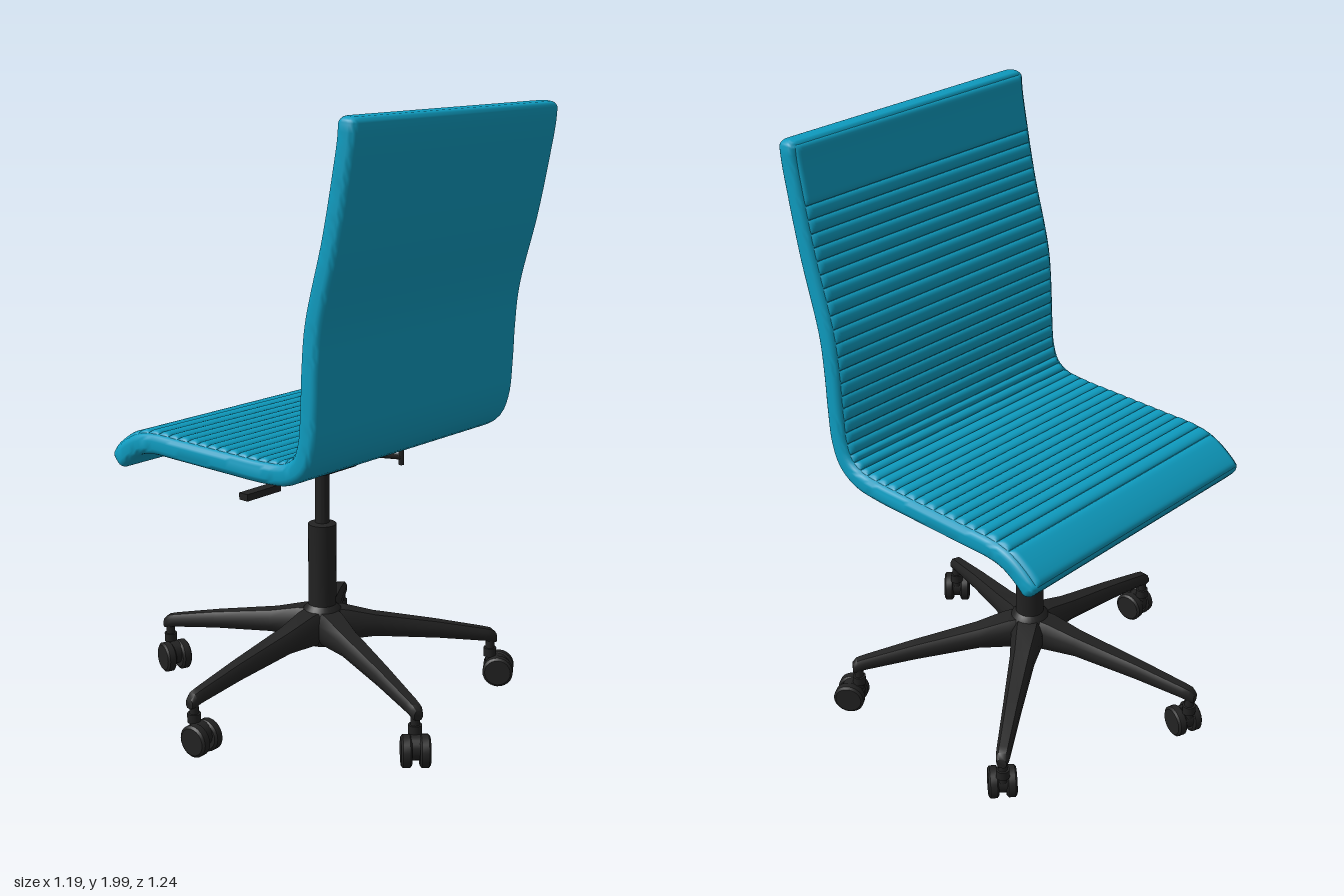
import * as THREE from 'three';
import { toCreasedNormals } from 'three/addons/utils/BufferGeometryUtils.js';

const teal = new THREE.MeshStandardMaterial({ color: 0x0e9cc0 });
teal.name = 'teal upholstery';
const black = new THREE.MeshStandardMaterial({ color: 0x222222 });
black.name = 'black frame';

// Skin a list of equal-length rings; closed rings get end caps
function loft(rings, closed = true) {
  const n = rings[0].length, pos = rings.flat(2), index = [];
  const span = closed ? n : n - 1;
  for (let i = 0; i < rings.length - 1; i++) {
    for (let j = 0; j < span; j++) {
      const a = i * n + j, b = i * n + (j + 1) % n;
      index.push(a, b, a + n, b, b + n, a + n);
    }
  }
  if (closed) {
    const last = (rings.length - 1) * n;
    for (let j = 1; j < n - 1; j++) {
      index.push(0, j + 1, j);
      index.push(last, last + j, last + j + 1);
    }
  }
  const g = new THREE.BufferGeometry();
  g.setAttribute('position', new THREE.Float32BufferAttribute(pos, 3));
  g.setIndex(index);
  g.computeVertexNormals();
  return g;
}

function add(parent, name, geometry, material, x = 0, y = 0, z = 0) {
  const m = new THREE.Mesh(geometry, material);
  m.name = name;
  m.position.set(x, y, z);
  parent.add(m);
  return m;
}

function rod(parent, name, points, radius) {
  const path = new THREE.CurvePath();
  const v = points.map(p => new THREE.Vector3(...p));
  for (let i = 0; i < v.length - 1; i++) path.add(new THREE.LineCurve3(v[i], v[i + 1]));
  return add(parent, name, new THREE.TubeGeometry(path, 24, radius, 8), black);
}

// Centre line of the one-piece seat and back, from front lip to top, as [z, y]
const spine = new THREE.CatmullRomCurve3([
  [-0.485, 0.845], [-0.44, 0.885], [-0.38, 0.92], [-0.32, 0.932], [-0.2, 0.932], [0, 0.93],
  [0.18, 0.93], [0.26, 0.94], [0.315, 0.975], [0.342, 1.04], [0.352, 1.15], [0.357, 1.27],
  [0.37, 1.4], [0.435, 1.65], [0.476, 1.85], [0.49, 1.93], [0.495, 1.995],
].map(([z, y]) => new THREE.Vector3(0, y, z)));
spine.arcLengthDivisions = 800;
const LENGTH = spine.getLength();
const HALF = 0.497, THICK = 0.034;

// Point at distance s along the spine, x across, h above it on the sitting side
function onSpine(s, x, h) {
  const u = THREE.MathUtils.clamp(s / LENGTH, 0, 1);
  const p = spine.getPointAt(u), t = spine.getTangentAt(u);
  return [x, p.y + t.z * h, p.z - t.y * h];
}

const roundOff = (d, r) => Math.sqrt(Math.max(0, 1 - (1 - Math.min(1, d / r)) ** 2));

function shellGeometry() {
  const r = 0.022, stops = [0, 0.06, 0.2, 0.45, 0.75, 1].map(k => k * r);
  const s = [...stops];
  for (let i = 1; i < 90; i++) s.push(r + (LENGTH - 2 * r) * i / 90);
  s.push(...stops.map(d => LENGTH - d).reverse());
  return loft(s.map(d => {
    const inset = r * (1 - roundOff(Math.min(d, LENGTH - d), r));
    const w = HALF - inset, t = THICK - inset * 0.8, c = Math.min(r, t * 0.9);
    const ring = [];
    for (const [sx, sh, a0] of [[1, -1, -90], [1, 1, 0], [-1, 1, 90], [-1, -1, 180]]) {
      for (let k = 0; k <= 4; k++) {
        const a = THREE.MathUtils.degToRad(a0 + k * 22.5);
        ring.push(onSpine(d, sx * (w - c) + c * Math.cos(a), sh * (t - c) + c * Math.sin(a)));
      }
    }
    return ring;
  }));
}

// One padded strip across the sitting side, between distances s0 and s1
function padGeometry(s0, s1, steps) {
  const rings = [], r = 0.02, w = HALF - 0.016, across = [0, 0.003, 0.008, 0.014, 0.02];
  for (let i = 0; i <= steps; i++) {
    const u = (1 - Math.cos(Math.PI * i / steps)) / 2, s = s0 + (s1 - s0) * u;
    const e = roundOff(Math.min(s - s0, s1 - s), r);
    const half = across.map(d => [w - d, THICK - 0.003 + 0.013 * e * roundOff(d, r)]);
    const row = [...half, ...half.map(([x, h]) => [-x, h]).reverse()];
    rings.push(row.map(([x, h]) => onSpine(s, x, h)));
  }
  return loft(rings, false);
}

// Twin-wheel caster; origin on the stem axis at floor level
function caster() {
  const g = new THREE.Group();
  g.name = 'caster';
  add(g, 'casterStem', new THREE.CylinderGeometry(0.015, 0.015, 0.1, 14), black, 0, 0.13, 0);
  add(g, 'casterCollar', new THREE.CylinderGeometry(0.022, 0.022, 0.03, 14), black, 0, 0.115, 0);
  add(g, 'casterBody', new THREE.CylinderGeometry(0.04, 0.04, 0.03, 20).rotateZ(Math.PI / 2),
    black, 0, 0.065, 0.025);
  const profile = [[0, -0.017], [0.044, -0.017], [0.052, -0.011], [0.052, 0.011], [0.044, 0.017], [0, 0.017]];
  const wheel = toCreasedNormals(
    new THREE.LatheGeometry(profile.map(p => new THREE.Vector2(...p)), 24).rotateZ(Math.PI / 2), 0.6);
  for (const side of [-1, 1]) add(g, 'casterWheel', wheel, black, side * 0.029, 0.055, 0.03);
  return g;
}

// Tapered base arm running along +x: [distance, bottom, top, half width]
function armGeometry() {
  const sections = [[0.0, 0.205, 0.325, 0.055], [0.08, 0.21, 0.315, 0.053], [0.18, 0.212, 0.287, 0.041],
    [0.4, 0.186, 0.243, 0.03], [0.57, 0.16, 0.204, 0.023], [0.595, 0.152, 0.197, 0.021], [0.61, 0.15, 0.182, 0.015]];
  return toCreasedNormals(loft(sections.map(([x, b, t, w]) => {
    const k = (t - b) * 0.3;
    return [[-w * 0.6, b], [w * 0.6, b], [w, b + k], [w, t - k], [w * 0.6, t], [-w * 0.6, t], [-w, t - k], [-w, b + k]]
      .map(([z, y]) => [x, y, -z]).reverse().map(([px, py, pz]) => [px, py, -pz]);
  })), 0.9);
}

export function createModel() {
  const model = new THREE.Group();
  model.name = 'officeChair';

  // Seat and back
  const seat = new THREE.Group();
  seat.name = 'seatAndBack';
  seat.position.x = 0.038;
  seat.rotation.y = 0.025;
  model.add(seat);
  add(seat, 'shell', toCreasedNormals(shellGeometry(), 0.8), teal);
  const first = 0.135, last = LENGTH - 0.2, ribs = 36, pitch = (last - first) / ribs;
  add(seat, 'frontPad', padGeometry(0.012, first, 20), teal);
  for (let i = 0; i < ribs; i++) {
    add(seat, 'rib', padGeometry(first + i * pitch, first + (i + 1) * pitch, 10), teal);
  }
  add(seat, 'topPad', padGeometry(last, LENGTH - 0.012, 20), teal);

  // Five-arm base, column and hub
  const base = new THREE.Group();
  base.name = 'base';
  base.position.set(0.038, 0, -0.025);
  model.add(base);
  const column = [[0, 0.2], [0.06, 0.2], [0.075, 0.23], [0.075, 0.285], [0.062, 0.32], [0.047, 0.335],
    [0.047, 0.615], [0.024, 0.62], [0.024, 0.83]];
  add(base, 'column', toCreasedNormals(
    new THREE.LatheGeometry(column.map(p => new THREE.Vector2(...p)), 28), 0.6), black);
  const arm = armGeometry(), turns = [0.6, -0.7, -0.3, 0.08, -0.8];
  for (let i = 0; i < 5; i++) {
    const a = THREE.MathUtils.degToRad(-36 + 72 * i);
    add(base, 'arm', arm, black).rotation.y = a;
    const c = caster();
    c.position.set(0.59 * Math.cos(a), 0, -0.59 * Math.sin(a));
    c.rotation.y = turns[i];
    base.add(c);
  }

  // Tilt mechanism under the seat
  const tilt = new THREE.Group();
  tilt.name = 'tiltMechanism';
  tilt.position.set(0.038, 0, -0.025);
  tilt.rotation.y = 0.025;
  model.add(tilt);
  add(tilt, 'housing', new THREE.BoxGeometry(0.16, 0.07, 0.16), black, 0, 0.845, 0);
  add(tilt, 'mountPlate', new THREE.CylinderGeometry(0.19, 0.16, 0.03, 4, 1).rotateY(Math.PI / 4),
    black, 0, 0.887, 0);

  // Height lever with paddle, and the two tilt handles
  rod(tilt, 'heightLever', [[-0.05, 0.865, 0.04], [-0.18, 0.845, 0.07], [-0.32, 0.83, 0.085]], 0.009);
  add(tilt, 'leverPaddle', new THREE.BoxGeometry(0.15, 0.022, 0.035), black, -0.39, 0.829, 0.09);
  rod(tilt, 'sideRod', [[0.05, 0.86, 0.08], [0.19, 0.835, 0.18]], 0.008);
  rod(tilt, 'sideHandle', [[0.19, 0.81, 0.18], [0.19, 0.88, 0.18]], 0.009);
  rod(tilt, 'frontRod', [[0.19, 0.84, 0.18], [0.08, 0.845, 0.05]], 0.008);
  rod(tilt, 'tiltRod', [[-0.06, 0.855, -0.04], [-0.18, 0.845, -0.11]], 0.008);
  add(tilt, 'tiltHandle', new THREE.BoxGeometry(0.018, 0.025, 0.09), black, -0.185, 0.845, -0.095);
  return model;
}
